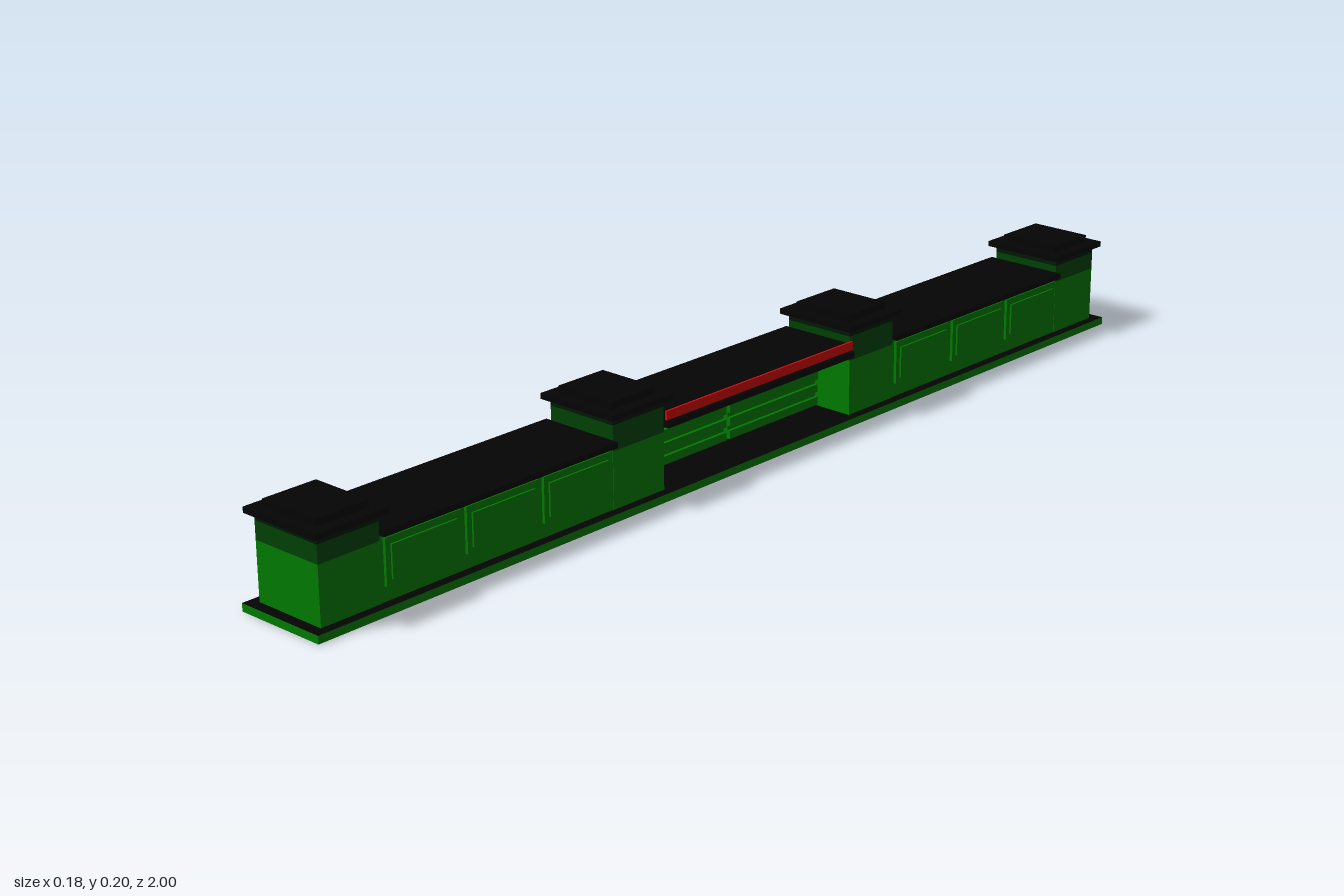
import * as THREE from 'three';

const mat = (name, color) => {
  const m = new THREE.MeshStandardMaterial({ color });
  m.name = name;
  return m;
};

export function createModel() {
  const green = mat('green paint', 0x007a00);
  const darkGreen = mat('dark green band', 0x004204);
  const deepGreen = mat('deep green neck', 0x001a04);
  const black = mat('black stone', 0x040404);
  const red = mat('red sign', 0xd00808);

  const model = new THREE.Group();
  model.name = 'gatedWall';

  // Box given by its limits on each axis
  const box = (parent, name, material, x0, x1, y0, y1, z0, z1) => {
    const mesh = new THREE.Mesh(new THREE.BoxGeometry(x1 - x0, y1 - y0, z1 - z0), material);
    mesh.position.set((x0 + x1) / 2, (y0 + y1) / 2, (z0 + z1) / 2);
    mesh.name = name;
    parent.add(mesh);
    return mesh;
  };
  // Box symmetric in x, centred on z
  const block = (parent, name, material, hx, y0, y1, z, hz) =>
    box(parent, name, material, -hx, hx, y0, y1, z - hz, z + hz);

  // Base: green edges, black top and underside
  block(model, 'base', [green, green, black, black, green, green], 0.088, 0, 0.014, 0, 1);

  // Pillar with banded neck and stepped cap; lift raises the neck and cap
  const pillar = (name, z, lift) => {
    const g = new THREE.Group();
    g.name = name;
    block(g, 'pillarShaft', green, 0.071, 0.014, 0.116, z, 0.06);
    block(g, 'pillarBand', darkGreen, 0.071, 0.116, 0.148 + lift, z, 0.06);
    block(g, 'pillarNeck', deepGreen, 0.071, 0.148 + lift, 0.16 + lift, z, 0.06);
    block(g, 'capSlab', black, 0.082, 0.16 + lift, 0.17 + lift, z, 0.072);
    block(g, 'capBlock', black, 0.06, 0.17 + lift, 0.183 + lift, z, 0.052);
    model.add(g);
  };

  for (const s of [1, -1]) {
    pillar('endPillar', s * 0.92, 0);
    pillar('gatePillar', s * 0.3, 0.013);

    // Wall between the pillars, with coping and raised panels on both faces
    const wall = new THREE.Group();
    wall.name = 'wallSection';
    const mid = s * 0.61;
    block(wall, 'wallCore', green, 0.07, 0.014, 0.125, mid, 0.25);
    block(wall, 'wallCoping', black, 0.082, 0.125, 0.135, mid, 0.25);
    for (const i of [-1, 0, 1]) {
      const z = mid + i * 0.166;
      block(wall, 'panelFrame', green, 0.0755, 0.04, 0.12, z, 0.077);
      block(wall, 'raisedPanel', green, 0.079, 0.05, 0.108, z, 0.067);
    }
    model.add(wall);

    // Gate leaf with horizontal rails, leaving a slit in the middle
    const leaf = new THREE.Group();
    leaf.name = 'gateLeaf';
    const [z0, z1] = s > 0 ? [0.005, 0.24] : [-0.24, -0.005];
    box(leaf, 'leafPanel', green, -0.024, -0.008, 0.014, 0.125, z0, z1);
    for (const y of [0.016, 0.04, 0.064, 0.088, 0.109]) {
      box(leaf, 'leafRail', green, -0.03, -0.002, y, y + 0.015, z0, z1);
    }
    model.add(leaf);
  }

  // Flat roof over the gate, with the red sign strip along its left edge
  block(model, 'roofSlab', black, 0.082, 0.125, 0.136, 0, 0.24);
  box(model, 'roofBlock', black, -0.077, 0.074, 0.136, 0.148, -0.24, 0.24);
  box(model, 'signStrip', red, 0.074, 0.078, 0.138, 0.154, -0.24, 0.24);

  return model;
}
